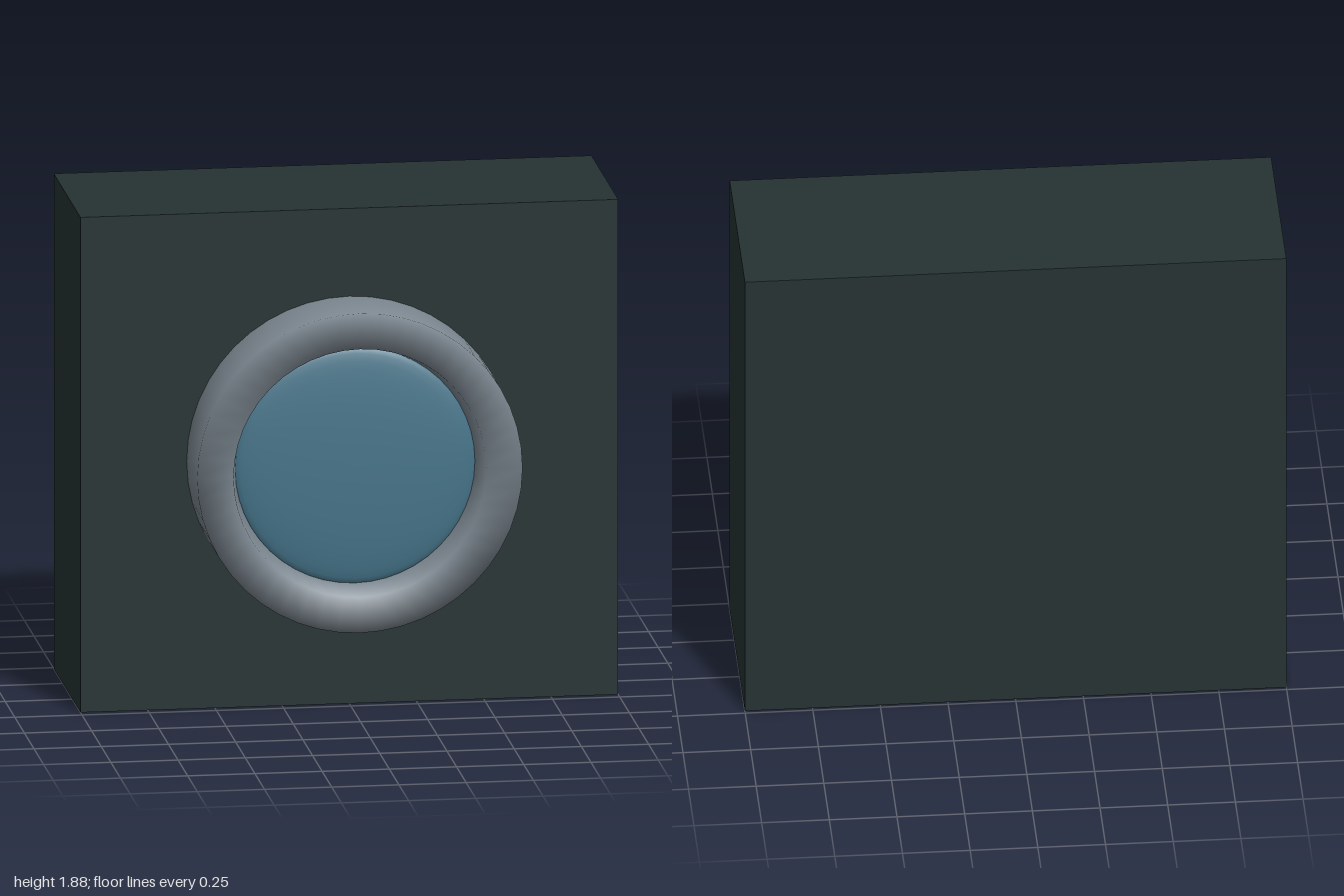
import * as THREE from 'three';

export function createModel() {
  const model = new THREE.Group();
  const casing = new THREE.MeshStandardMaterial({ color: 0x263333 });
  casing.name = 'dark casing';
  const metal = new THREE.MeshStandardMaterial({ color: 0x7a858e });
  metal.name = 'grey metal';
  const glass = new THREE.MeshStandardMaterial({ color: 0x457489 });
  glass.name = 'blue glass';

  const centreY = 0.9375;
  const frontZ = 0.21;

  // Square housing
  const body = new THREE.Mesh(new THREE.BoxGeometry(2, 1.875, 0.695), casing);
  body.name = 'housing';
  body.position.set(0, centreY, frontZ - 0.3475);
  model.add(body);

  // Turned parts: profile of [radius, distance in front of the housing]
  function turned(name, profile, material) {
    const points = profile.map(([r, d]) => new THREE.Vector2(r, d));
    const mesh = new THREE.Mesh(new THREE.LatheGeometry(points, 48), material);
    mesh.name = name;
    mesh.rotation.x = Math.PI / 2;
    mesh.position.set(0, centreY, frontZ);
    model.add(mesh);
  }

  // Bezel with softly shaded rim and tapering inner wall
  turned('bezel', [[0.605, 0], [0.605, 0.275], [0.47, 0.275], [0.445, 0.14]], metal);

  // Shallow domed lens, set back inside the bezel
  const dome = [];
  for (let i = 0; i <= 10; i++) {
    const a = (i / 10) * Math.PI / 2;
    dome.push([i === 10 ? 0 : 0.447 * Math.cos(a), 0.145 + 0.04 * Math.sin(a)]);
  }
  turned('lens', dome, glass);

  return model;
}
